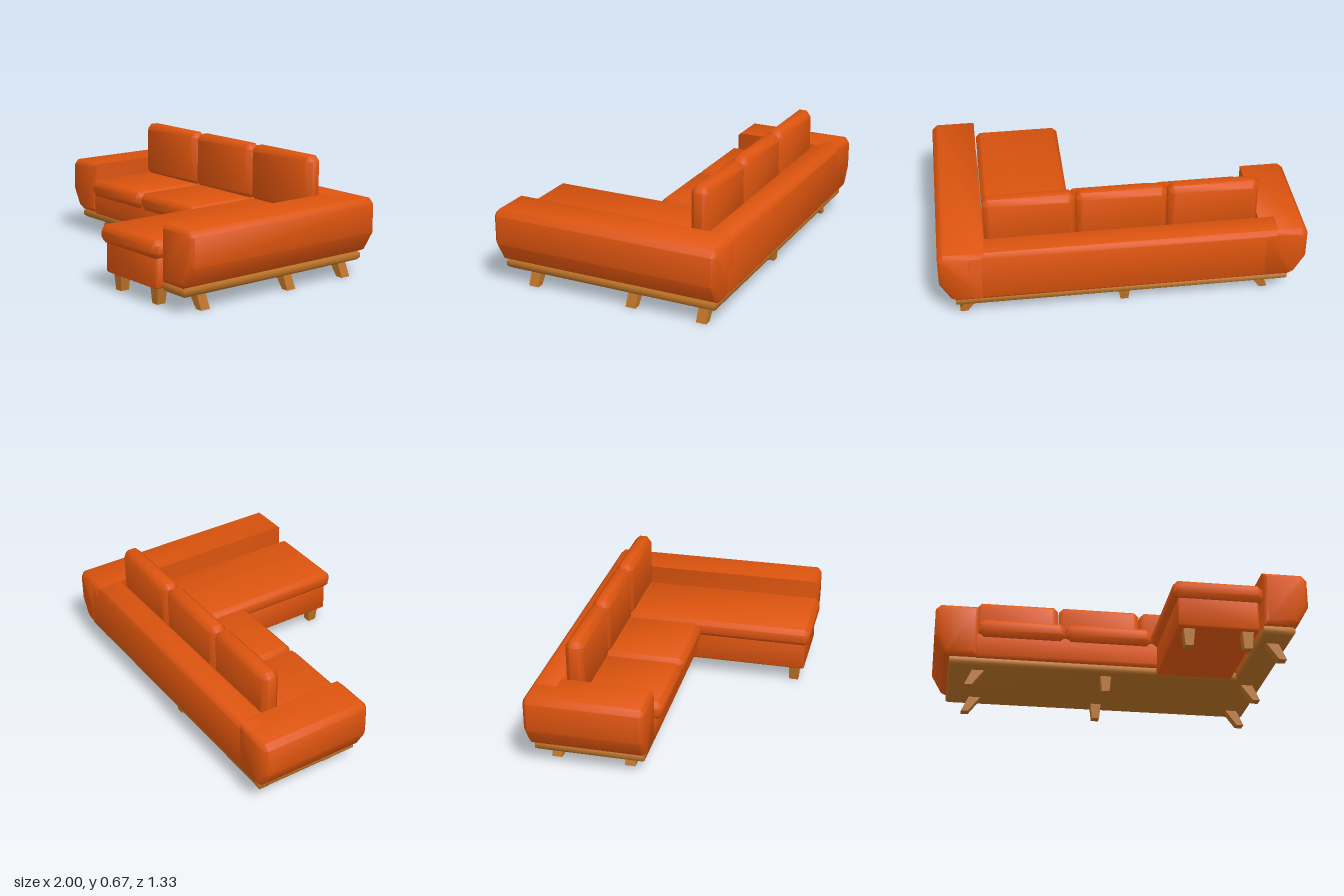
import * as THREE from 'three';
import { toCreasedNormals } from 'three/addons/utils/BufferGeometryUtils.js';

const CREASE = 0.9; // keeps 45 degree chamfers soft

// Extrude an outline along z from z0 to z1, chamfering both ends inside the outline
function bevelled(points, z0, z1, c) {
  const shape = new THREE.Shape(points.map(([x, y]) => new THREE.Vector2(x, y)));
  const geo = new THREE.ExtrudeGeometry(shape, {
    depth: z1 - z0 - 2 * c,
    bevelEnabled: true, bevelThickness: c, bevelSize: c, bevelOffset: -c, bevelSegments: 1,
  });
  geo.translate(0, 0, z0 + c);
  return geo;
}

// Box with every edge chamfered, given by its limits
function chamferBox([x0, x1], [y0, y1], [z0, z1], c) {
  const outline = [
    [x0 + c, y0], [x1 - c, y0], [x1, y0 + c], [x1, y1 - c],
    [x1 - c, y1], [x0 + c, y1], [x0, y1 - c], [x0, y0 + c],
  ];
  return toCreasedNormals(bevelled(outline, z0, z1, c), CREASE);
}

// Tapered foot whose bottom is shifted sideways by splay
function footGeometry(topW, bottomW, topD, bottomD, height, splay) {
  const geo = new THREE.BoxGeometry(1, height, 1);
  const p = geo.attributes.position;
  for (let i = 0; i < p.count; i++) {
    const low = p.getY(i) < 0;
    p.setX(i, p.getX(i) * (low ? bottomW : topW) + (low ? splay : 0));
    p.setZ(i, p.getZ(i) * (low ? bottomD : topD));
  }
  geo.translate(0, height / 2, 0);
  const flat = geo.toNonIndexed();
  flat.computeVertexNormals();
  return flat;
}

export function createModel() {
  const model = new THREE.Group();
  model.name = 'cornerSofa';

  const fabric = new THREE.MeshStandardMaterial({ color: 0xdd540e });
  fabric.name = 'orange upholstery';
  const wood = new THREE.MeshStandardMaterial({ color: 0xb87025 });
  wood.name = 'brown wood';

  const add = (name, geometry, material, x = 0, y = 0, z = 0) => {
    const mesh = new THREE.Mesh(geometry, material);
    mesh.name = name;
    mesh.position.set(x, y, z);
    model.add(mesh);
  };

  // Arms: flat inside, flaring outward from the plinth
  const armProfile = [
    [0.75, 0.14], [0.91, 0.14], [0.94, 0.155], [1, 0.26],
    [1, 0.42], [0.97, 0.45], [0.75, 0.45],
  ];
  for (const [name, side, front] of [['leftArm', 1, 0.635], ['rightArm', -1, -0.01]]) {
    const outline = armProfile.map(([x, y]) => [x * side, y]);
    add(name, toCreasedNormals(bevelled(outline, -0.663, front, 0.022), CREASE), fabric);
  }

  // Back rail and seat base
  add('backRail', chamferBox([-0.86, 0.86], [0.14, 0.45], [-0.663, -0.5], 0.022), fabric);
  add('seatBase', chamferBox([-0.77, 0.77], [0.135, 0.28], [-0.56, -0.012], 0.012), fabric);
  add('chaiseBase', chamferBox([0.278, 0.718], [0.095, 0.29], [-0.05, 0.637], 0.008), fabric);

  // Three seats, the last one a long chaise, each with a back cushion
  for (let i = 0; i < 3; i++) {
    const x = [-0.75 + i * 0.5, -0.257 + i * 0.5];
    const front = i === 2 ? 0.663 : 0.025;
    add(i === 2 ? 'chaiseCushion' : 'seatCushion',
      chamferBox(x, [0.257, 0.357], [-0.5, front], 0.026), fabric);
    add('backCushion', chamferBox(x, [0.345, 0.668], [-0.5, -0.4], 0.027), fabric);
  }

  // L-shaped plinth under the seats and the long arm
  const plinth = bevelled([
    [-0.91, -0.635], [0.92, -0.635], [0.92, 0.615],
    [0.745, 0.615], [0.745, -0.03], [-0.91, -0.03],
  ], 0, 0.052, 0.014);
  plinth.rotateX(Math.PI / 2);
  add('plinth', toCreasedNormals(plinth, CREASE), wood, 0, 0.142, 0);

  // Straight feet along the middle and under the chaise
  const straight = footGeometry(0.064, 0.044, 0.064, 0.052, 0.1, 0);
  for (const [x, z] of [[-0.009, -0.555], [-0.009, -0.122], [0.34, 0.575], [0.66, 0.575]]) {
    add('straightFoot', straight, wood, x, 0, z);
  }

  // Splayed feet under the arms
  for (const [side, rows] of [[1, [-0.545, -0.135, 0.46]], [-1, [-0.545, -0.135]]]) {
    const splayed = footGeometry(0.07, 0.042, 0.058, 0.058, 0.095, side * 0.058);
    for (const z of rows) add('splayedFoot', splayed, wood, side * (side > 0 ? 0.822 : 0.738), 0, z);
  }

  return model;
}
